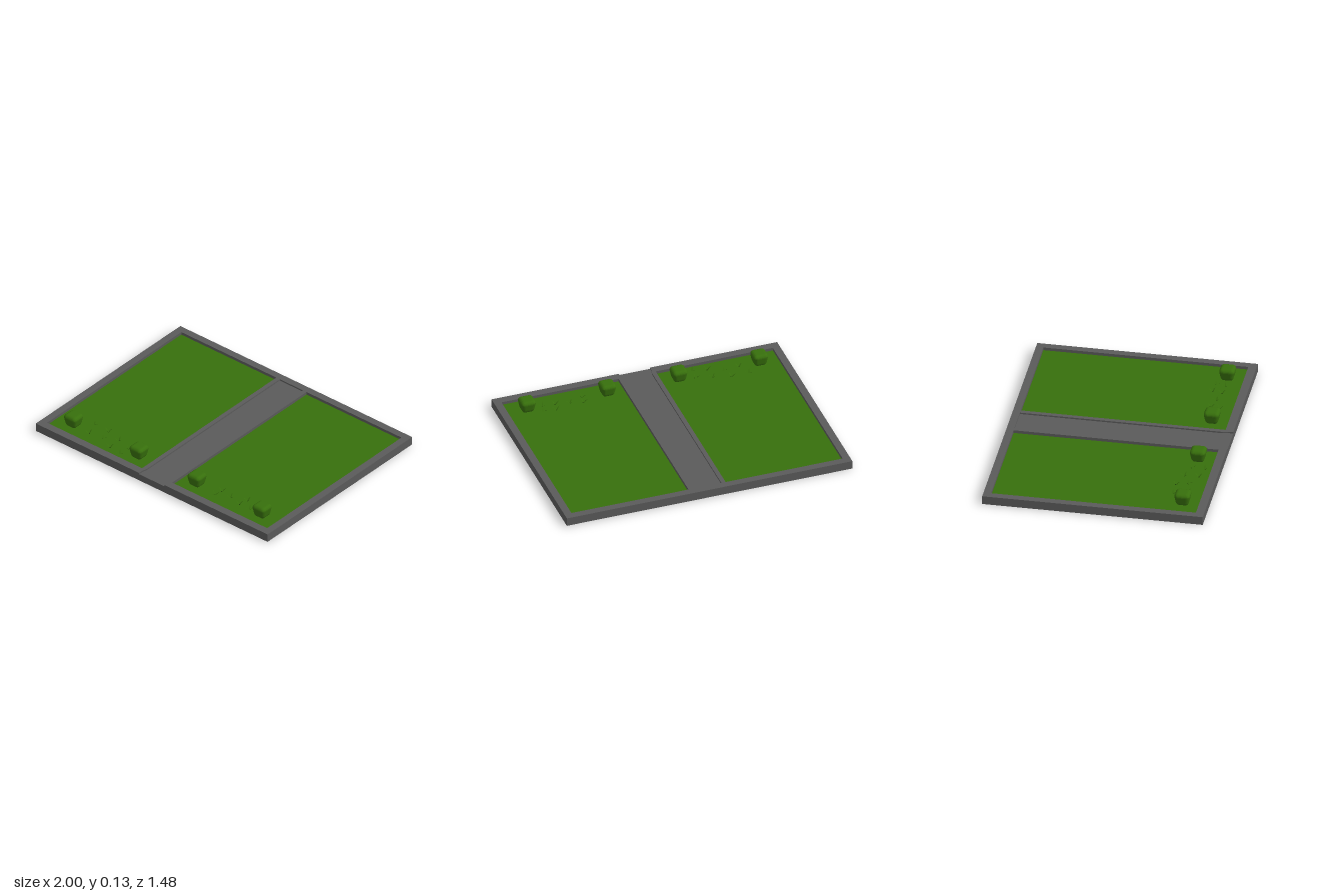
import * as THREE from 'three';
import { RoundedBoxGeometry } from 'three/addons/geometries/RoundedBoxGeometry.js';

const material = (name, color, extra = {}) => {
  const m = new THREE.MeshStandardMaterial({ color, ...extra });
  m.name = name;
  return m;
};

// Outline from x, z pairs, laid flat once the extrusion is turned upright
const outline = (Type, pts) => new Type(pts.map(([x, z]) => new THREE.Vector2(x, -z)));

function slab(shape, bottom, top) {
  const g = new THREE.ExtrudeGeometry(shape, { depth: top - bottom, bevelEnabled: false });
  g.rotateX(-Math.PI / 2);
  g.translate(0, bottom, 0);
  return g;
}

export function createModel() {
  const model = new THREE.Group();
  model.name = 'gardenPlot';
  const stone = material('stone grey', 0x5a5a5a);
  const grass = material('grass green', 0x376f0c);
  const leaf = material('leaf green', 0x376f0c, { side: THREE.DoubleSide });

  const add = (name, geometry, mat, parent = model) => {
    const mesh = new THREE.Mesh(geometry, mat);
    mesh.name = name;
    parent.add(mesh);
    return mesh;
  };

  const W = 1, D = 0.74, TOP = 0.06, GRASS = 0.04, PATH = 0.05;

  // Stone kerb: open at the front for the path, with a window for each lawn
  const walk = [[-0.11, D], [-0.108, 0.705], [-0.1, 0.67], [-0.1, -0.69],
    [0.1, -0.69], [0.1, 0.67], [0.108, 0.705], [0.11, D]];
  const kerb = outline(THREE.Shape, [[-W, D], ...walk, [W, D], [W, -D], [-W, -D]]);
  for (const s of [-1, 1]) {
    kerb.holes.push(outline(THREE.Path,
      [[s * 0.13, -0.69], [s * 0.95, -0.69], [s * 0.95, 0.685], [s * 0.13, 0.685]]));
  }
  add('kerb', slab(kerb, 0.001, TOP), stone);
  add('path', slab(outline(THREE.Shape, walk), 0.001, PATH), stone);

  // Lawns and the green underside
  for (const s of [-1, 1]) {
    const lawn = new THREE.PlaneGeometry(0.82, 1.375).rotateX(-Math.PI / 2);
    add(s > 0 ? 'leftLawn' : 'rightLawn', lawn, grass).position.set(s * 0.54, GRASS, -0.0025);
  }
  add('underside', new THREE.PlaneGeometry(2 * W, 2 * D).rotateX(Math.PI / 2), grass);

  // Clipped bushes: rounded blocks that narrow towards the ground
  const bush = new RoundedBoxGeometry(0.105, 0.09, 0.105, 3, 0.025);
  const p = bush.attributes.position;
  for (let i = 0; i < p.count; i++) {
    const t = THREE.MathUtils.clamp((0.025 - p.getY(i)) / 0.07, 0, 1);
    const k = 1 - 0.25 * t;
    p.setX(i, p.getX(i) * k);
    p.setZ(i, p.getZ(i) * k);
  }
  bush.computeVertexNormals();
  for (const x of [-0.815, -0.25, 0.25, 0.812]) {
    add('bush', bush, grass).position.set(x, 0.085, 0.573);
  }

  // Grass tufts: three upright, outward leaning blades each
  const blade = new THREE.BufferGeometry();
  blade.setAttribute('position', new THREE.Float32BufferAttribute([
    0.004, 0, -0.003, 0.004, 0, 0.003, 0.016, 0.015, -0.004,
    0.016, 0.015, 0.004, 0.03, 0.022, 0], 3));
  blade.setIndex([0, 1, 2, 1, 3, 2, 2, 3, 4]);
  blade.computeVertexNormals();
  const tufts = [[-0.71, 0.485], [-0.59, 0.485], [-0.47, 0.52], [-0.36, 0.55],
    [-0.675, 0.58], [-0.565, 0.565], [-0.465, 0.615], [-0.365, 0.635],
    [0.43, 0.53], [0.52, 0.55], [0.42, 0.59], [0.63, 0.505],
    [0.72, 0.515], [0.615, 0.57], [0.705, 0.575]];
  tufts.forEach(([x, z], i) => {
    const tuft = new THREE.Group();
    tuft.name = 'grassTuft';
    tuft.position.set(x, GRASS, z);
    tuft.rotation.y = i * 0.9;
    for (let j = 0; j < 3; j++) add('blade', blade, leaf, tuft).rotation.y = j * Math.PI * 2 / 3;
    model.add(tuft);
  });

  return model;
}
